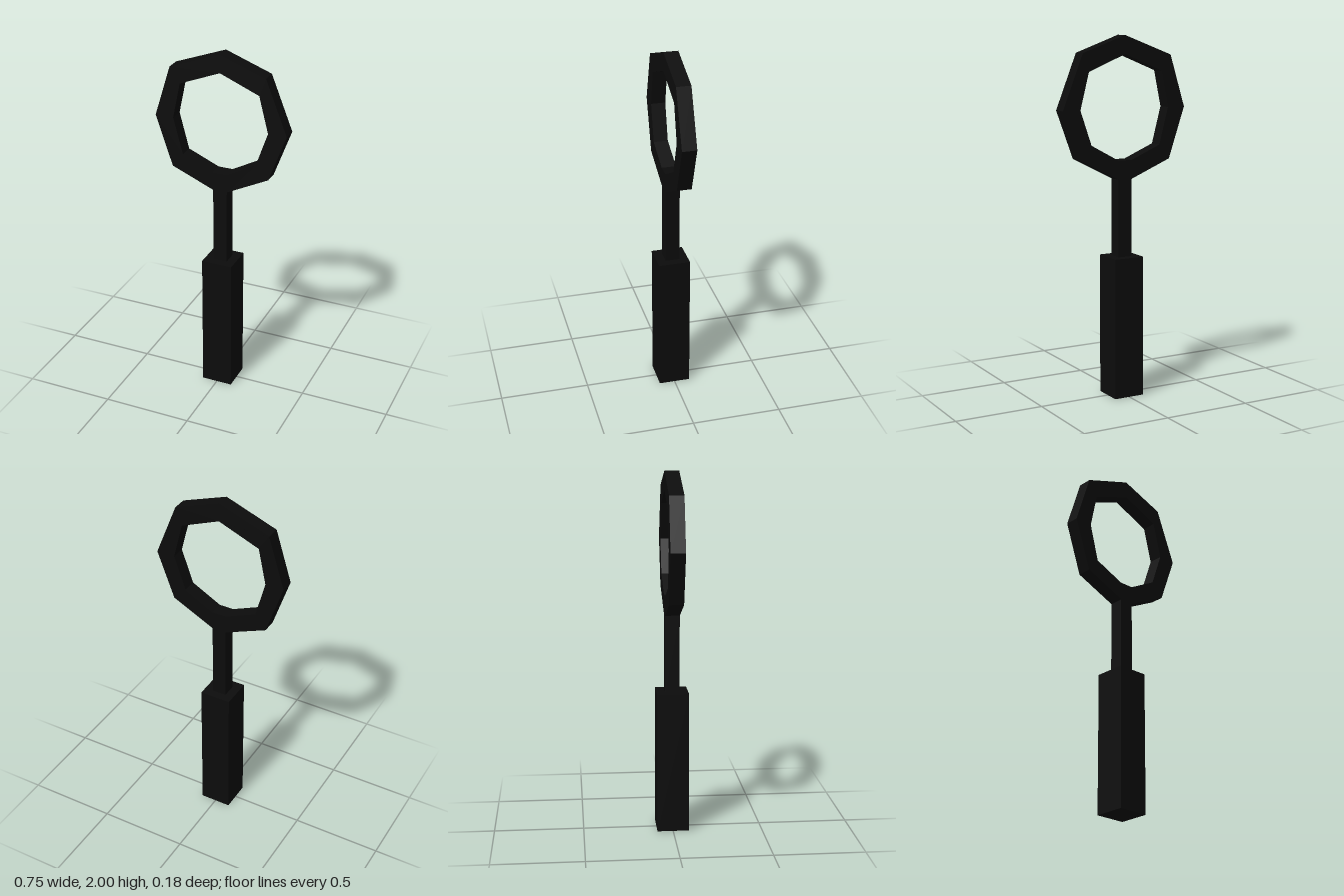
import * as THREE from 'three';

export function createModel() {
  const model = new THREE.Group();
  const material = new THREE.MeshStandardMaterial({ color: 0x0c0c0c, flatShading: true });

  const add = (name, geometry, y) => {
    const mesh = new THREE.Mesh(geometry, material);
    mesh.name = name;
    mesh.position.y = y;
    model.add(mesh);
  };
  const toPoints = (pairs) => pairs.map(([x, y]) => new THREE.Vector2(x, y));

  // Square grip and the thinner stem above it
  add('handle', new THREE.BoxGeometry(0.176, 0.79, 0.176), 0.395);
  add('stem', new THREE.BoxGeometry(0.08, 0.43, 0.08), 1.005);

  // Open lens frame: slightly uneven polygon, flat at the bottom where it meets the stem
  const outer = [
    [-0.04, 1.22], [0.04, 1.22], [0.278, 1.34], [0.376, 1.605], [0.256, 1.907],
    [0, 2], [-0.287, 1.892], [-0.376, 1.605], [-0.28, 1.32],
  ];
  const inner = [
    [-0.042, 1.325], [0.04, 1.325], [0.206, 1.415], [0.272, 1.605], [0.22, 1.808],
    [0, 1.898], [-0.23, 1.805], [-0.272, 1.605], [-0.218, 1.4],
  ];
  const frame = new THREE.Shape(toPoints(outer));
  frame.holes.push(new THREE.Path(toPoints(inner)));
  const frameGeometry = new THREE.ExtrudeGeometry(frame, { depth: 0.08, bevelEnabled: false });
  frameGeometry.translate(0, 0, -0.04);
  add('lensFrame', frameGeometry, 0);

  return model;
}
